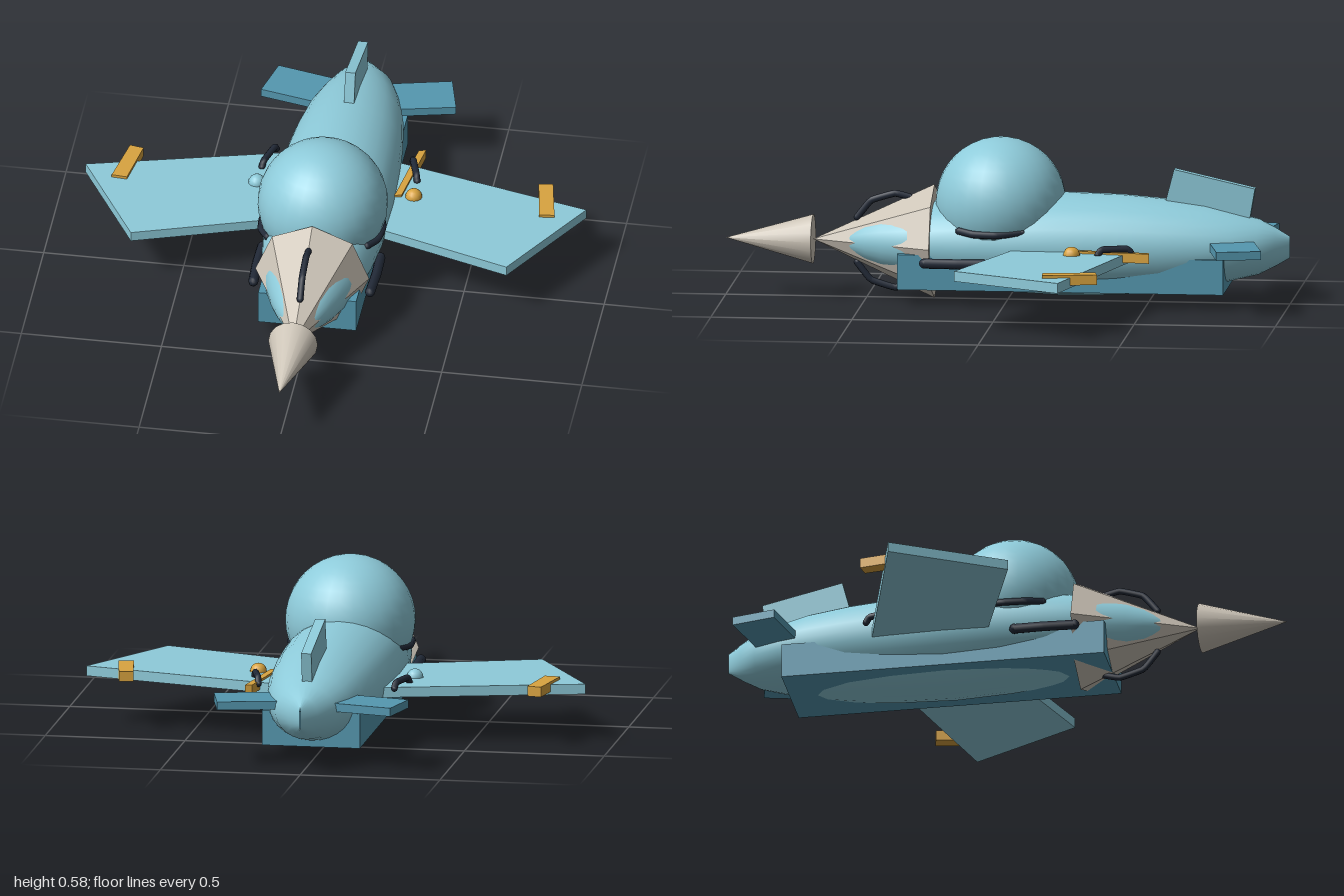
import * as THREE from 'three';

const mat = (name, color, extra = {}) => {
  const m = new THREE.MeshStandardMaterial({ color, ...extra });
  m.name = name;
  return m;
};

// Closed body from elliptical sections [z, halfWidth, halfHeight], tail to nose
function loft(sections, sides) {
  const pos = [], idx = [];
  sections.forEach(([z, rx, ry], i) => {
    for (let j = 0; j < sides; j++) {
      const a = (j / sides) * Math.PI * 2;
      pos.push(rx * Math.cos(a), ry * Math.sin(a), z);
      if (i === sections.length - 1) continue;
      const k = (j + 1) % sides, p = i * sides, q = p + sides;
      idx.push(p + j, p + k, q + j, p + k, q + k, q + j);
    }
  });
  const g = new THREE.BufferGeometry();
  g.setAttribute('position', new THREE.Float32BufferAttribute(pos, 3));
  g.setIndex(idx);
  g.computeVertexNormals();
  return g;
}

// Flat plate from [x, z] outline between two heights
function plate(outline, y0, y1) {
  const shape = new THREE.Shape(outline.map(([x, z]) => new THREE.Vector2(x, -z)));
  const g = new THREE.ExtrudeGeometry(shape, { depth: y1 - y0, bevelEnabled: false });
  return g.rotateX(-Math.PI / 2).translate(0, y0, 0);
}

export function createModel() {
  const root = new THREE.Group();
  root.name = 'drillPlane';
  const light = mat('lightBlue', 0x8ecbda);
  const dark = mat('deepBlue', 0x5598b0);
  const metal = mat('warmGrey', 0xcdc5b8);
  const metalFlat = metal.clone();
  metalFlat.flatShading = true;
  const gold = mat('gold', 0xd9a440);
  const black = mat('nearBlack', 0x222a38);

  const add = (name, geo, material, x = 0, y = 0, z = 0) => {
    const m = new THREE.Mesh(geo, material);
    m.name = name;
    m.position.set(x, y, z);
    root.add(m);
    return m;
  };

  // Bent rod with rounded ends
  const rod = (name, pts, r) => {
    const group = new THREE.Group();
    group.name = name;
    const path = new THREE.CatmullRomCurve3(pts.map(p => new THREE.Vector3(...p)), false, 'catmullrom', 0.15);
    group.add(new THREE.Mesh(new THREE.TubeGeometry(path, 16, r, 8), black));
    for (const p of [pts[0], pts[pts.length - 1]]) {
      const end = new THREE.Mesh(new THREE.SphereGeometry(r, 8, 6), black);
      end.position.set(...p);
      group.add(end);
    }
    root.add(group);
  };

  const axisY = 0.21;

  // Fuselage, pinched to an upright edge at the tail
  add('fuselage', loft([
    [-1, 0.002, 0.038], [-0.95, 0.055, 0.068], [-0.89, 0.108, 0.098], [-0.8, 0.145, 0.12],
    [-0.7, 0.172, 0.145], [-0.55, 0.195, 0.165], [-0.4, 0.208, 0.177], [-0.2, 0.217, 0.182],
    [0, 0.213, 0.172], [0.15, 0.198, 0.157], [0.26, 0.178, 0.142], [0.36, 0.152, 0.124],
    [0.44, 0.122, 0.105], [0.5, 0.094, 0.08], [0.56, 0.058, 0.045], [0.6, 0.002, 0.002],
  ], 28), light, 0, axisY);

  // Keel box under the body
  add('keel', new THREE.BoxGeometry(0.35, 0.125, 1.155), dark, 0, 0.125, -0.203);

  // Cockpit dome
  add('dome', new THREE.SphereGeometry(0.23, 28, 20), light, 0, 0.355, 0.025);

  // Faceted nose and drill tip
  add('nose', new THREE.ConeGeometry(0.203, 0.43, 8).rotateX(Math.PI / 2), metalFlat, 0, axisY, 0.475);
  add('drillTip', new THREE.ConeGeometry(0.088, 0.31, 16).rotateX(Math.PI / 2), metal, 0, axisY, 0.845);

  // Upright tail fin
  const fin = new THREE.Shape([[0.59, 0.483], [0.877, 0.418], [0.85, 0.26], [0.545, 0.31]]
    .map(([x, y]) => new THREE.Vector2(x, y)));
  add('tailFin', new THREE.ExtrudeGeometry(fin, { depth: 0.036, bevelEnabled: false })
    .translate(0, 0, -0.018).rotateY(Math.PI / 2), light);

  // Curved rods above and below the nose
  for (const s of [1, -1]) {
    rod(s > 0 ? 'upperNoseRod' : 'lowerNoseRod', [
      [0, axisY + s * 0.08, 0.535], [0, axisY + s * 0.142, 0.485],
      [0, axisY + s * 0.168, 0.4], [0, axisY + s * 0.155, 0.345],
    ], 0.012);
  }

  for (const s of [1, -1]) {
    const side = s > 0 ? 'left' : 'right';
    const flip = pts => pts.map(([x, ...rest]) => [s * x, ...rest]);

    // Swept wing and tailplane
    add(side + 'Wing', plate(flip([[0.05, -0.085], [0.67, 0.12], [0.893, -0.27], [0.05, -0.49]]),
      0.178, 0.214), light);
    add(side + 'Tailplane', plate(flip([[0.03, -0.865], [0.31, -0.93], [0.348, -0.775], [0.06, -0.71]]),
      0.214, 0.244), dark);

    // Wing tip bar and wing button
    add(side + 'TipBar', plate(flip([[0.705, -0.385], [0.755, -0.395], [0.79, -0.205], [0.735, -0.2]]),
      0.188, 0.224), gold);
    add(side + 'Button', new THREE.SphereGeometry(0.03, 14, 10), s > 0 ? gold : light, s * 0.28, 0.214, -0.255);

    // Wing handle, side rod and rod hugging the dome
    rod(side + 'WingHandle', flip([[0.277, 0.215, -0.347], [0.272, 0.234, -0.362],
      [0.247, 0.234, -0.45], [0.243, 0.215, -0.465]]), 0.012);
    rod(side + 'SideRod', flip([[0.208, 0.163, 0.275], [0.213, 0.163, 0.16], [0.211, 0.163, 0.06]]), 0.018);
    rod(side + 'DomeRod', flip([[0.178, 0.276, 0.155], [0.208, 0.269, 0.1],
      [0.214, 0.268, 0.02], [0.188, 0.276, -0.07]]), 0.013);
  }

  // Single slanted bar beside the left wing root
  add('rootBar', plate([[0.255, -0.525], [0.28, -0.53], [0.238, -0.245], [0.213, -0.24]], 0.188, 0.222), gold);

  return root;
}
